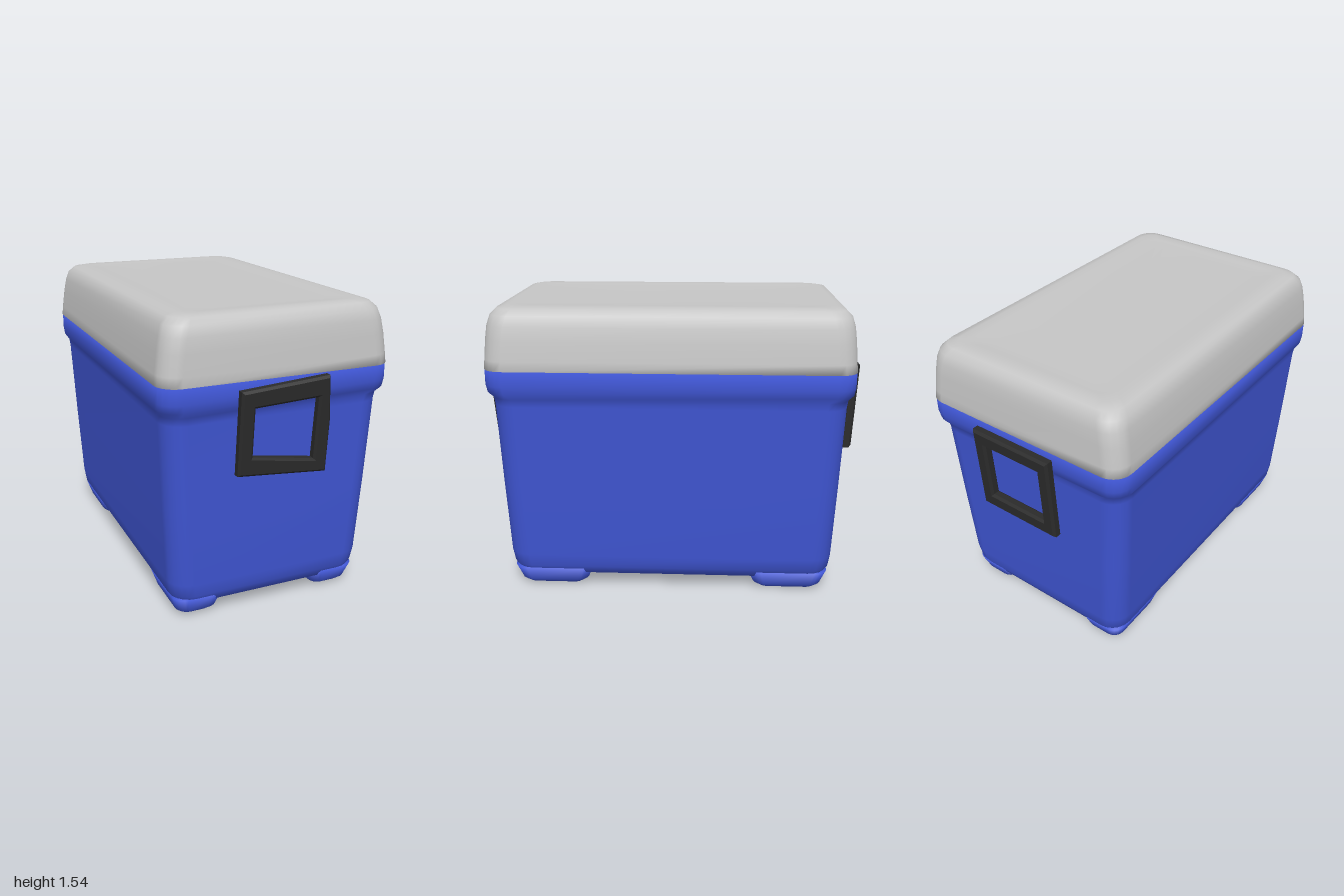
import * as THREE from 'three';

// Stacked rounded-rectangle sections, each [y, halfWidth, halfLength, cornerRadius], bottom to top
function loft(sections, cx = 0, cz = 0, steps = 5) {
  const pos = [], idx = [];
  const n = 4 * (steps + 1);
  for (const [y, w, l, r] of sections) {
    for (let c = 0; c < 4; c++) {
      const sx = c === 0 || c === 3 ? 1 : -1;
      const sz = c < 2 ? 1 : -1;
      for (let s = 0; s <= steps; s++) {
        const a = (c + s / steps) * Math.PI / 2;
        pos.push(cx + sx * (w - r) + r * Math.cos(a), y, cz + sz * (l - r) + r * Math.sin(a));
      }
    }
  }
  for (let i = 0; i < sections.length - 1; i++) {
    for (let j = 0; j < n; j++) {
      const a = i * n + j, b = i * n + (j + 1) % n;
      idx.push(a, a + n, b, b, a + n, b + n);
    }
  }
  // end caps
  const last = (sections.length - 1) * n;
  const bottom = pos.length / 3, top = bottom + 1;
  pos.push(cx, sections[0][0], cz, cx, sections[sections.length - 1][0], cz);
  for (let j = 0; j < n; j++) {
    const k = (j + 1) % n;
    idx.push(bottom, j, k, top, last + k, last + j);
  }
  const g = new THREE.BufferGeometry();
  g.setAttribute('position', new THREE.Float32BufferAttribute(pos, 3));
  g.setIndex(idx);
  g.computeVertexNormals();
  return g;
}

// Four-sided frame with a bevel; lean pulls the lower edge towards the body
function handleGeometry(outer, inner, lean) {
  const toV = ([x, y]) => new THREE.Vector2(x, y);
  const shape = new THREE.Shape(outer.map(toV));
  shape.holes.push(new THREE.Path(inner.map(toV)));
  const g = new THREE.ExtrudeGeometry(shape, {
    depth: 0.03, bevelEnabled: true, bevelThickness: 0.012, bevelSize: 0.012, bevelOffset: -0.012, bevelSegments: 1,
  });
  const p = g.attributes.position;
  for (let i = 0; i < p.count; i++) {
    p.setZ(i, p.getZ(i) + 0.958 - lean * (1.2 - p.getY(i)));
  }
  g.computeVertexNormals();
  return g;
}

export function createModel() {
  const model = new THREE.Group();
  model.name = 'coolBox';

  const make = (name, color) => {
    const m = new THREE.MeshStandardMaterial({ color });
    m.name = name;
    return m;
  };
  const blue = make('blue', 0x3f55d2);
  const grey = make('lightGrey', 0xc6c6c6);
  const black = make('black', 0x2b2b2b);

  const add = (name, geometry, material) => {
    const mesh = new THREE.Mesh(geometry, material);
    mesh.name = name;
    model.add(mesh);
    return mesh;
  };

  // tapered tub with a wider rim
  add('body', loft([
    [0.06, 0.40, 0.74, 0.08],
    [0.06, 0.44, 0.79, 0.09],
    [0.08, 0.49, 0.835, 0.10],
    [0.13, 0.522, 0.862, 0.11],
    [0.20, 0.532, 0.872, 0.11],
    [0.60, 0.553, 0.888, 0.11],
    [1.04, 0.573, 0.903, 0.11],
    [1.08, 0.578, 0.908, 0.11],
    [1.11, 0.596, 0.93, 0.10],
    [1.15, 0.60, 0.938, 0.10],
    [1.232, 0.60, 0.938, 0.10],
  ]), blue);

  // corner feet
  for (const sx of [-1, 1]) {
    for (const sz of [-1, 1]) {
      add('foot', loft([
        [0, 0.05, 0.12, 0.04],
        [0.006, 0.085, 0.155, 0.05],
        [0.03, 0.108, 0.185, 0.06],
        [0.11, 0.135, 0.215, 0.07],
      ], sx * 0.378, sz * 0.637), blue);
    }
  }

  // lid with rounded shoulders and a slightly dished top
  add('lid', loft([
    [1.23, 0.58, 0.92, 0.10],
    [1.23, 0.602, 0.94, 0.10],
    [1.28, 0.598, 0.935, 0.10],
    [1.38, 0.585, 0.928, 0.10],
    [1.45, 0.572, 0.92, 0.10],
    [1.50, 0.556, 0.905, 0.10],
    [1.53, 0.525, 0.875, 0.09],
    [1.54, 0.48, 0.835, 0.08],
    [1.538, 0.42, 0.785, 0.07],
    [1.532, 0.33, 0.72, 0.05],
  ]), grey);

  // carrying handles: the front one is slightly skewed, the back one is square
  add('frontHandle', handleGeometry(
    [[-0.238, 0.775], [0.236, 0.73], [0.236, 1.0], [0.215, 1.23], [-0.238, 1.197]],
    [[-0.165, 0.865], [-0.165, 1.11], [0.165, 1.125], [0.162, 0.81]], 0.085), black);
  const back = add('backHandle', handleGeometry(
    [[-0.236, 0.74], [0.236, 0.74], [0.236, 1.21], [-0.236, 1.21]],
    [[-0.165, 0.82], [-0.165, 1.13], [0.165, 1.13], [0.165, 0.82]], 0.05), black);
  back.rotation.y = Math.PI;

  return model;
}
